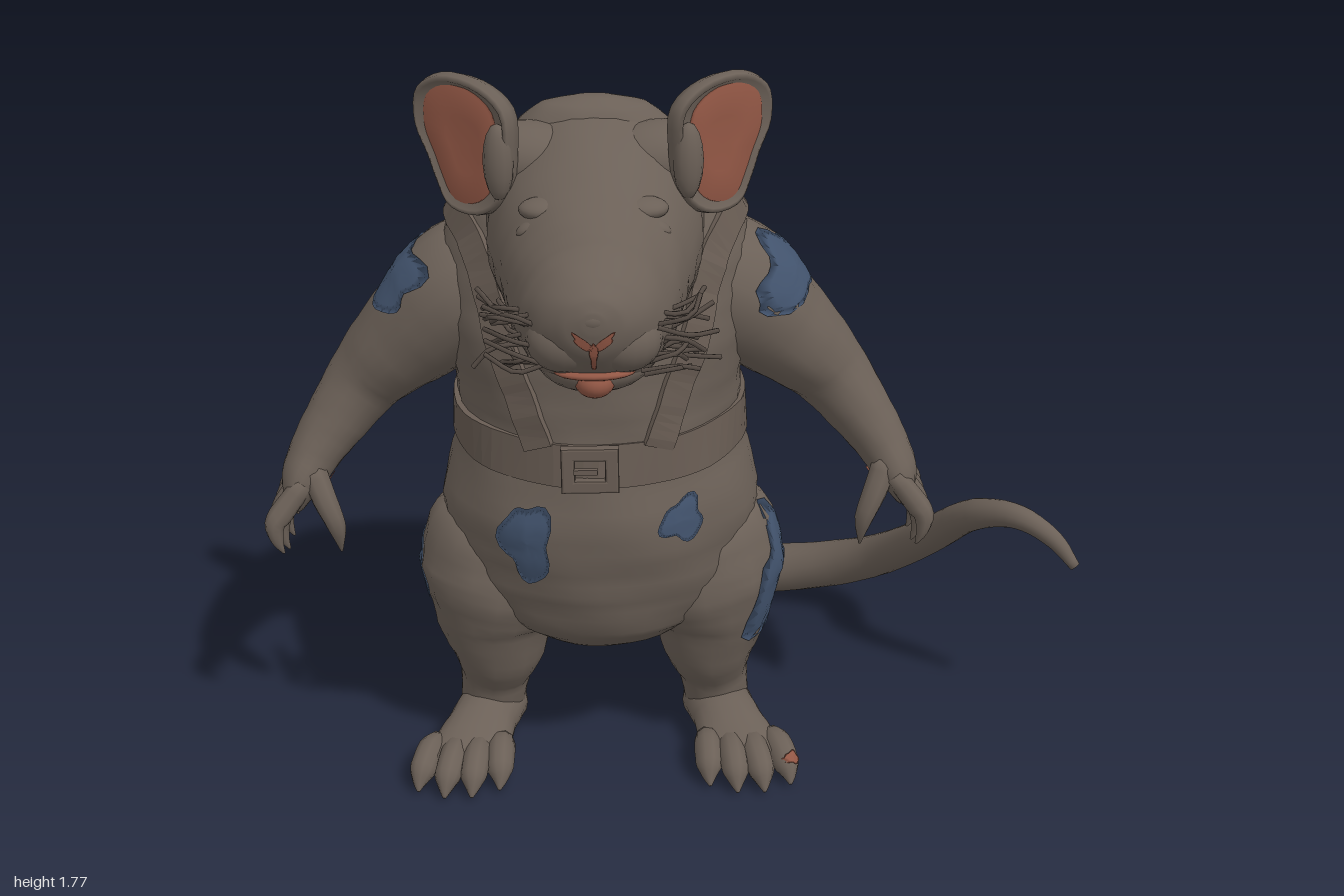
import * as THREE from 'three';

const V = (x, y, z) => new THREE.Vector3(x, y, z);
const mat = (name, color) => Object.assign(new THREE.MeshStandardMaterial({ color }), { name });

export function createModel() {
  const fur = mat('fur', 0x6b6057), leather = mat('leather', 0x685c53), dark = mat('whisker', 0x554b44);
  const pink = mat('bare skin', 0x925745), blue = mat('blue patch', 0x42536d);
  blue.side = pink.side = THREE.DoubleSide;
  const model = new THREE.Group(), rat = new THREE.Group();
  rat.name = 'rat';
  rat.position.x = -0.2;
  model.add(rat);

  const add = (name, geo, material, parent = rat) => {
    const mesh = new THREE.Mesh(geo, material);
    mesh.name = name;
    parent.add(mesh);
    return mesh;
  };

  // Skin over a list of rings, with fan caps at both ends
  const skin = (rings, flat = false) => {
    const n = rings[0].length, pos = [], idx = [], last = (rings.length - 1) * n;
    rings.forEach(r => r.forEach(p => pos.push(p.x, p.y, p.z)));
    for (let i = 0; i < rings.length - 1; i++) for (let j = 0; j < n; j++) {
      const a = i * n + j, b = i * n + (j + 1) % n;
      idx.push(a, b, a + n, b, b + n, a + n);
    }
    [rings[0], rings[rings.length - 1]].forEach((r, e) => {
      const c = r.reduce((s, p) => s.add(p), V(0, 0, 0)).divideScalar(n), k = pos.length / 3;
      pos.push(c.x, c.y, c.z);
      for (let j = 0; j < n; j++) {
        const a = j, b = (j + 1) % n;
        if (e) idx.push(last + a, last + b, k); else idx.push(b, a, k);
      }
    });
    let geo = new THREE.BufferGeometry();
    geo.setAttribute('position', new THREE.Float32BufferAttribute(pos, 3));
    geo.setIndex(idx);
    if (flat) geo = geo.toNonIndexed();
    geo.computeVertexNormals();
    return geo;
  };

  // Oval tube through sections [x, y, z, radiusA, radiusB]; axis keeps rings parallel
  const tube = (secs, { ref = V(0, 0, 1), axis = null, sides = 20, steps = 5, lump = 0.02 } = {}) => {
    const path = new THREE.CatmullRomCurve3(secs.map(s => V(s[0], s[1], s[2])));
    const size = new THREE.CatmullRomCurve3(secs.map(s => V(s[3], s[4], 0)));
    const rings = [], n = (secs.length - 1) * steps;
    for (let i = 0; i <= n; i++) {
      const c = path.getPoint(i / n), r = size.getPoint(i / n);
      const t = axis || path.getTangent(i / n);
      const u = ref.clone().cross(t).normalize(), v = t.clone().cross(u);
      rings.push(Array.from({ length: sides }, (_, j) => {
        const a = j / sides * Math.PI * 2;
        const k = 1 + lump * Math.sin(i * 1.3 + 3 * a) * Math.cos(i * 0.7 - 5 * a);
        return c.clone().addScaledVector(u, Math.cos(a) * r.x * k).addScaledVector(v, Math.sin(a) * r.y * k);
      }));
    }
    return skin(rings);
  };
  const ball = (name, p, r, material = fur) => {
    const m = add(name, new THREE.SphereGeometry(1, 20, 14), material);
    m.position.set(...p);
    m.scale.set(...r);
    return m;
  };
  const Y = V(0, 1, 0), Z = V(0, 0, 1);

  // Torso: [y, z centre, half width, half depth]
  const torso = add('torso', tube([
    [.33, .04, .07, .08], [.36, .03, .21, .21], [.43, 0, .32, .31], [.55, -.01, .385, .355], [.7, 0, .39, .37],
    [.88, -.01, .345, .355], [1, -.005, .345, .35], [1.15, 0, .37, .34], [1.3, 0, .37, .3], [1.42, .02, .335, .235],
    [1.52, .06, .27, .17], [1.62, .1, .19, .125], [1.68, .12, .12, .07], [1.7, .13, .04, .02]
  ].map(([y, z, w, d]) => [0, y, z, w, d]), { axis: Y, sides: 40, lump: .012 }), fur);

  // Head: [z, y centre, half width, half height]
  const head = add('head', tube([
    [-.04, 1.42, .18, .18], [.1, 1.43, .25, .26], [.25, 1.4, .24, .25], [.4, 1.373, .205, .203],
    [.52, 1.35, .18, .18], [.62, 1.35, .155, .155], [.69, 1.365, .115, .105], [.73, 1.375, .065, .06], [.743, 1.385, .02, .02]
  ].map(([z, y, w, h]) => [0, y, z, w, h]), { axis: Z, ref: Y, sides: 32, lump: .01 }), fur);
  ball('lowerJaw', [0, 1.245, .57], [.12, .06, .11]);
  ball('tongue', [0, 1.228, .65], [.042, .034, .046], pink);
  ball('lip', [0, 1.253, .655], [.085, .015, .045], pink);
  ball('nose', [0, 1.388, .715], [.045, .028, .03]);

  // Outline of one ear, outer edge towards +x
  const earLine = new THREE.CatmullRomCurve3([[.153, .04], [.145, .118], [.08, .155], [-.03, .145], [-.1, .095], [-.105, 0],
    [-.085, -.105], [-.02, -.15], [.065, -.14], [.1, -.08], [.12, -.03]].map(([x, y]) => V(x, y, 0)), true).getPoints(39).slice(0, 39);

  const legs = {}, arms = {}, toes = {};
  for (const s of [1, -1]) {
    const side = s > 0 ? 'left' : 'right';
    const limb = (name, secs, o) => add(side + name, tube(secs.map(([x, ...r]) => [x * s, ...r]), o), fur);

    // Face
    ball(side + 'Cheek', [s * .06, 1.32, .645], [.08, .07, .075]);
    const lid = ball(side + 'Eyelid', [s * .125, 1.49, .43], [.042, .018, .03]);
    lid.rotation.z = -s * .4;
    ball(side + 'Brow', [s * .1, 1.52, .4], [.06, .025, .05]);
    for (let i = 0; i < 18; i++) {
      const r = k => { const q = Math.sin(i * 12.99 + k * 78.2 + s) * 43758.5; return q - Math.floor(q); };
      const a = V(s * (.09 + .04 * r(1)), 1.25 + .14 * r(2), .58 + .1 * r(3));
      const b = a.clone().add(V(s * (.05 + .03 * r(4)), .05 * r(5) - .02, .02 - .03 * r(6)));
      const c = b.clone().add(V(s * (.02 + .05 * r(7)), .09 * r(8) - .05, -.09 * r(9)));
      add(side + 'Whisker', new THREE.TubeGeometry(new THREE.CatmullRomCurve3([a, b, c]), 6, .0055, 5), dark);
    }

    // Ear: thick shell with rolled rim, bare inside and fleshy root
    const ear = new THREE.Group();
    ear.name = side + 'Ear';
    ear.position.set(s * .255, 1.615, .245);
    ear.rotation.y = s * .6;
    rat.add(ear);
    const earRings = rows => skin(rows.map(([kx, ky, z, dx = 0]) => {
      const ring = earLine.map(p => V(s * (p.x * kx + dx), p.y * ky, z));
      return s > 0 ? ring : ring.reverse();
    }));
    add('earShell', earRings([[.3, .3, -.055], [.7, .7, -.045], [.95, .95, -.02], [1, 1, .005], [.97, .97, .025],
      [.9, .9, .03], [.82, .82, .012], [.4, .4, .006]]), fur, ear);
    add('earInside', earRings([[.74, .85, .004, .016], [.72, .83, .018, .016], [.35, .4, .014, .016]]), pink, ear);
    const fold = add('earFold', new THREE.SphereGeometry(1, 12, 8), fur, ear);
    fold.scale.set(.035, .085, .03);
    fold.position.set(-s * .075, -.02, .02);
    const root = ball(side + 'EarRoot', [s * .13, 1.57, .19], [.15, .085, .1]);
    root.rotation.z = s * .15;

    // Arm, hand and clawed fingers
    arms[s] = limb('Arm', [
      [.2, 1.26, 0, .13, .15], [.31, 1.21, 0, .165, .18], [.45, 1.09, -.02, .13, .155], [.56, .98, -.03, .098, .125],
      [.64, .88, .01, .078, .09], [.69, .81, .04, .065, .08], [.725, .745, .055, .055, .095], [.745, .68, .06, .025, .08]
    ]);
    ball(side + 'Elbow', [s * .55, .98, -.1], [.065, .065, .06]);
    for (let i = 0; i < 4; i++) {
      const z = -.01 + i * .045, d = (i - 1.5) * .016, l = (i % 3 ? 0 : .025);
      limb('Finger', [[.715, .755, z, .026, .026], [.768, .69, z + d, .029, .028], [.785, .64 + l, z + d * 1.5, .025, .024],
        [.782, .6 + l, z + d * 1.7, .016, .016], [.768, .565 + l, z + d * 1.7, .003, .003]], { sides: 8, steps: 3 });
    }
    limb('Thumb', [[.695, .78, .1, .034, .034], [.665, .71, .13, .03, .03], [.642, .65, .14, .024, .024],
      [.635, .575, .13, .003, .003]], { sides: 8, steps: 3 });

    // Leg, foot and clawed toes
    legs[s] = limb('Leg', [
      [.2, .66, .02, .1, .15], [.235, .58, .03, .2, .21], [.25, .48, .04, .208, .22], [.268, .37, .05, .16, .185],
      [.268, .27, .06, .12, .13], [.28, .18, .045, .088, .088], [.29, .09, .03, .082, .08], [.29, .03, .02, .06, .06]
    ]);
    limb('Foot', [[.28, .06, -.05, .03, .035], [.285, .07, -.015, .075, .065], [.29, .078, .04, .088, .073],
      [.315, .074, .13, .088, .067], [.34, .058, .22, .1, .051], [.355, .05, .28, .085, .04]], { axis: Z, ref: Y });
    for (let i = 0; i < 4; i++) {
      const o = (i - 1.5) * .053, e = (i % 3 ? 0 : -.03);
      toes[s] = limb('Toe', [[.34 + o, .06, .2, .033, .034], [.347 + o * 1.1, .068, .27 + e, .035, .038],
        [.355 + o * 1.2, .05, .325 + e, .034, .036], [.358 + o * 1.25, .03, .352 + e, .018, .02],
        [.36 + o * 1.25, .015, .37 + e, .004, .004]], { ref: Y, sides: 10, steps: 3 });
    }
  }

  // Long tail sweeping round to the left
  add('tail', tube([
    [0, .5, -.2, .17], [.01, .385, -.37, .125], [.1, .22, -.55, .1], [.24, .115, -.64, .086], [.4, .085, -.667, .076],
    [.6, .125, -.6, .068], [.76, .215, -.48, .06], [.88, .38, -.28, .05], [.97, .535, -.1, .041],
    [1.06, .575, .005, .031], [1.14, .535, .055, .023], [1.19, .475, .085, .013]
  ].map(p => [...p, p[3]]), { ref: Y }), fur);

  // Surface lookup by ray
  const caster = new THREE.Raycaster();
  const hit = (from, dir, targets) => {
    caster.set(from, dir);
    return caster.intersectObjects(targets, false)[0];
  };

  // Strap following the torso along [angle, y] points
  const strap = (name, pts, width, closed = false) => {
    const path = new THREE.CatmullRomCurve3(pts.map(([a, y]) => V(a, y, 0)));
    const n = 64, spots = [];
    for (let i = 0; i <= n; i++) {
      const p = path.getPoint(i / n), d = V(Math.sin(p.x), 0, Math.cos(p.x));
      const h = hit(d.clone().multiplyScalar(2).setY(p.y), d.clone().negate(), [torso]);
      spots.push({ c: h.point, n: h.normal });
    }
    const rings = spots.map(({ c, n: nor }, i) => {
      const prev = closed && i === 0 ? n - 1 : Math.max(i - 1, 0), next = closed && i === n ? 1 : Math.min(i + 1, n);
      const t = spots[next].c.clone().sub(spots[prev].c).normalize();
      const u = nor.clone().cross(t).normalize(), v = t.clone().cross(u);
      return [[-1, -.03], [1, -.03], [1, .012], [-1, .012]].map(([a, b]) =>
        c.clone().addScaledVector(u, a * width / 2).addScaledVector(v, b));
    });
    add(name, skin(rings, true), leather);
  };
  strap('belt', Array.from({ length: 17 }, (_, i) => {
    const a = i / 16 * Math.PI * 2;
    return [a, .905 - .012 * Math.cos(a)];
  }), .105, true);
  for (const s of [1, -1]) strap(s > 0 ? 'leftBrace' : 'rightBrace', [[.4, .93], [.62, 1.13], [.95, 1.35], [1.6, 1.44],
    [2.4, 1.34], [Math.PI, 1.16], [Math.PI + .6, .95]].map(([a, y]) => [a * s, y]), .075);

  // Belt buckle
  const frame = new THREE.Shape(), hole = new THREE.Path();
  const box = (p, w, h) => p.moveTo(-w, -h).lineTo(w, -h).lineTo(w, h).lineTo(-w, h).closePath();
  box(frame, .06, .05);
  box(hole, .04, .03);
  frame.holes.push(hole);
  const buckle = add('buckle', new THREE.ExtrudeGeometry(frame, { depth: .015, bevelSize: .006, bevelThickness: .005, bevelSegments: 2 }), leather);
  buckle.position.set(-.02, .893, .355);
  const prong = add('buckleProng', new THREE.BoxGeometry(.055, .012, .012), leather);
  prong.position.set(-.03, .893, .374);

  // Irregular stain wrapped on the surface, seen along dir
  const patch = (name, at, dir, w, h, targets, seed, tilt = 0, material = blue) => {
    const d = V(...dir).normalize(), u = Y.clone().cross(d).normalize().applyAxisAngle(d, tilt), v = d.clone().cross(u);
    const rings = [], far = V(...at).addScaledVector(d, -2);
    for (let i = 5; i >= 0; i--) rings.push(Array.from({ length: 28 }, (_, j) => {
      const a = j / 28 * Math.PI * 2;
      const k = 1 + .18 * Math.sin(3 * a + seed) + .1 * Math.sin(5 * a + seed * 2);
      for (let r = (.04 + i * .192) * k; ; r *= .9) {
        const o = far.clone().addScaledVector(u, Math.cos(a) * r * w).addScaledVector(v, Math.sin(a) * r * h);
        const p = hit(o, d, targets);
        if (p) return p.point.addScaledVector(p.normal, .004);
        if (r < .001) return V(...at);
      }
    }));
    add(name, skin(rings), material);
  };
  const L = [torso, legs[1]], R = [torso, legs[-1]];
  patch('bellyStainRight', [-.17, .69, 0], [0, 0, -1], .06, .1, [torso], 1);
  patch('bellyStainLeft', [.19, .74, 0], [0, 0, -1], .05, .052, [torso], 2);
  patch('leftThighStain', [.4, .475, .09], [-1, 0, 0], .115, .16, L, 3);
  patch('leftThighStainBack', [.4, .51, -.06], [-1, 0, 0], .075, .07, L, 5);
  patch('rightThighStain', [-.4, .49, .04], [1, 0, 0], .08, .08, R, 4);
  patch('leftShoulderStain', [.42, 1.27, .06], [-1, 0, 0], .12, .06, [torso, arms[1]], 2.5, -.45);
  patch('rightShoulderStain', [-.42, 1.26, .04], [1, 0, -.1], .11, .065, [torso, arms[-1]], 1.5, .45);
  patch('upperBackStain', [-.07, 1.41, -.2], [0, 0, 1], .035, .035, [torso], 1);
  patch('lowerBackStain', [.17, .59, -.3], [0, 0, 1], .035, .03, [torso], 3);

  // Bare skin on the nose, palms and one toe
  patch('noseCleft', [0, 1.315, .7], [0, 0, -1], .008, .035, [head], 0, 0, pink);
  for (const s of [1, -1]) {
    patch('nostril', [s * .02, 1.345, .72], [0, 0, -1], .028, .01, [head], 0, -s * .7, pink);
    patch('palmSkin', [s * .7, .73, .05], [s, 0, 0], .02, .02, [arms[s]], 2, 0, pink);
  }
  patch('toeSkin', [.42, .06, .29], [-1, -.3, -.5], .018, .014, [toes[1]], 1, 0, pink);
  return model;
}
